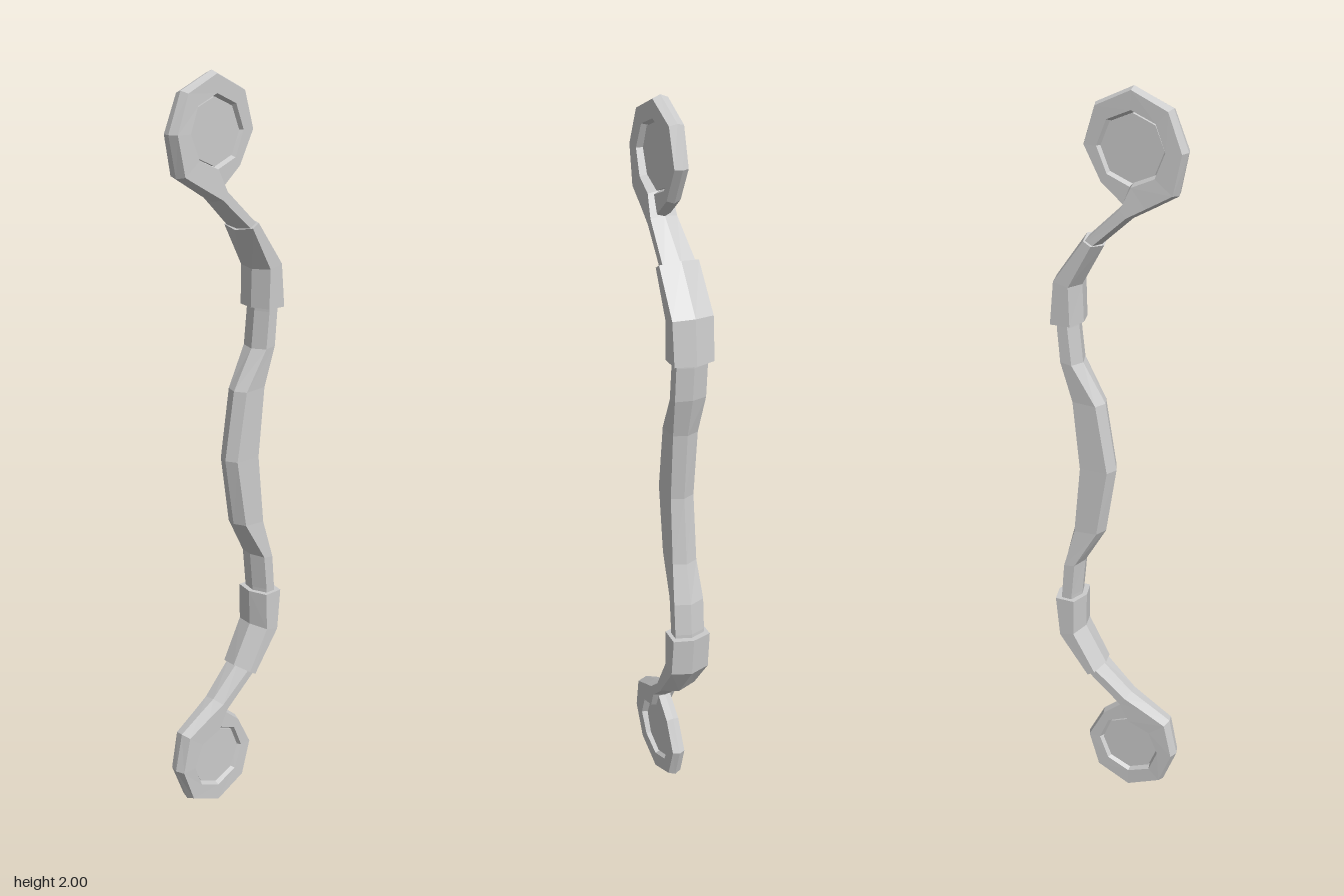
import * as THREE from 'three';

const material = new THREE.MeshStandardMaterial({ color: 0xcccccc, flatShading: true });

// Lofts bevelled six-sided sections [leftX, leftY, rightX, rightY, halfDepth] along a path.
// mirror reflects the part about the mid height y = 1.
function loft(name, sections, bevel, mirror = false) {
  const pos = [], index = [], n = 6;
  for (const [lx, ly, rx, ry, h] of sections) {
    const l = new THREE.Vector2(lx, ly), r = new THREE.Vector2(rx, ry);
    const t = bevel / l.distanceTo(r);
    const li = l.clone().lerp(r, t), ri = r.clone().lerp(l, t);
    for (const [p, z] of [[l, 0], [li, h], [ri, h], [r, 0], [ri, -h], [li, -h]])
      pos.push(p.x, mirror ? 2 - p.y : p.y, z);
  }
  const tri = (a, b, c) => (mirror ? index.push(a, c, b) : index.push(a, b, c));
  const last = (sections.length - 1) * n;
  for (let o = 0; o < last; o += n)
    for (let j = 0; j < n; j++) {
      const a = o + j, b = o + (j + 1) % n;
      tri(a, b, b + n);
      tri(a, b + n, a + n);
    }
  for (let j = 1; j < n - 1; j++) {
    tri(0, j + 1, j);
    tri(last, last + j, last + j + 1);
  }
  const geo = new THREE.BufferGeometry();
  geo.setAttribute('position', new THREE.Float32BufferAttribute(pos, 3));
  geo.setIndex(index);
  const flat = geo.toNonIndexed();
  flat.computeVertexNormals();
  const mesh = new THREE.Mesh(flat, material);
  mesh.name = name;
  return mesh;
}

export function createModel() {
  const group = new THREE.Group();
  group.name = 'handle';

  // Bowed grip
  group.add(loft('grip', [
    [0.11, 0.57, 0.165, 0.57, 0.042],
    [0.108, 0.61, 0.165, 0.61, 0.042],
    [0.098, 0.71, 0.157, 0.7, 0.042],
    [0.035, 0.815, 0.128, 0.81, 0.034],
    [0.004, 1, 0.11, 1, 0.032],
    [0.035, 1.185, 0.128, 1.19, 0.034],
    [0.098, 1.29, 0.157, 1.3, 0.042],
    [0.108, 1.39, 0.165, 1.39, 0.042],
    [0.11, 1.43, 0.165, 1.43, 0.042],
  ], 0.014));

  // Mounting eye: the neck curls clockwise round an octagonal opening
  const cx = -0.042, cy = 1.855, r = 0.083;
  const inner = (k) => [cx + r * Math.sin(k * Math.PI / 4), cy + r * Math.cos(k * Math.PI / 4)];
  const eye = [
    [0.06, 1.595, 0.088, 1.62, 0.044],
    [-0.042, 1.685, -0.016, 1.717, 0.035],
    [-0.09, 1.711, ...inner(4), 0.031],
    [-0.16, 1.75, ...inner(5), 0.027],
    [-0.183, 1.855, ...inner(6), 0.025],
    [-0.143, 1.955, ...inner(7), 0.022],
    [-0.042, 2, ...inner(8), 0.02],
    [0.058, 1.955, ...inner(9), 0.019],
    [0.09, 1.855, ...inner(10), 0.018],
    [0.042, 1.763, ...inner(11), 0.018],
    [-0.018, 1.713, ...inner(12), 0.018],
  ];
  const sleeve = [
    [0.095, 1.4, 0.18, 1.4, 0.053],
    [0.098, 1.5, 0.168, 1.518, 0.054],
    [0.037, 1.607, 0.083, 1.635, 0.052],
  ];

  for (const [side, mirror] of [['upper', false], ['lower', true]]) {
    group.add(loft(side + 'Sleeve', sleeve, 0.015, mirror));
    group.add(loft(side + 'Eye', eye, 0.008, mirror));
    // Recessed plate closing the eye
    const plate = new THREE.Mesh(new THREE.CylinderGeometry(r, r, 0.02, 8), material);
    plate.name = side + 'Plate';
    plate.rotation.x = Math.PI / 2;
    plate.position.set(cx, mirror ? 2 - cy : cy, 0);
    group.add(plate);
  }
  return group;
}
